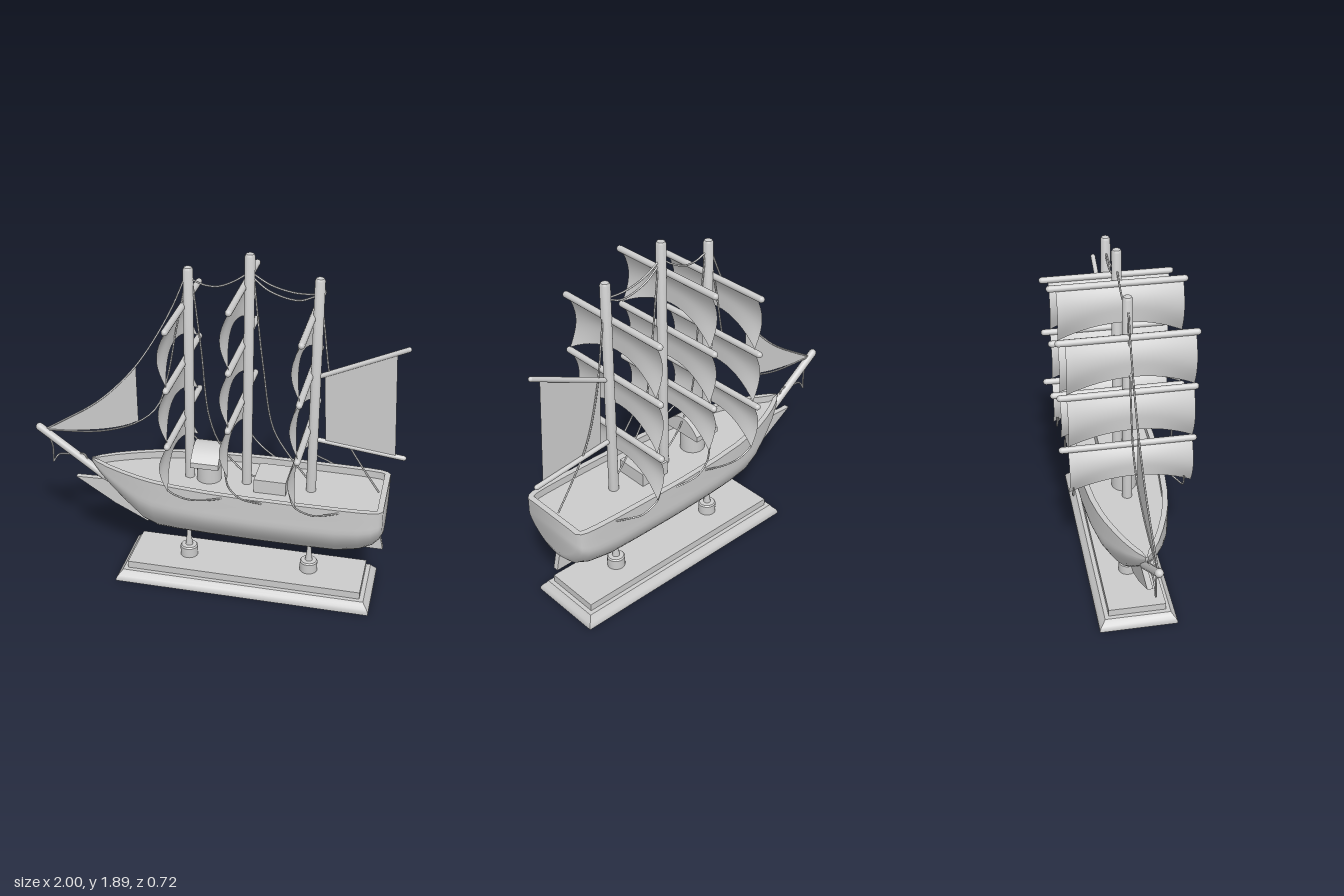
import * as THREE from 'three';
import { toCreasedNormals } from 'three/addons/utils/BufferGeometryUtils.js';

const solid = new THREE.MeshStandardMaterial({ color: 0xcccccc });
const cloth = new THREE.MeshStandardMaterial({ color: 0xcccccc, side: THREE.DoubleSide });
const V = (x, y, z = 0) => new THREE.Vector3(x, y, z);

// Skin a row of closed rings and cap both ends
function loft(rings, crease) {
  const n = rings[0].length, idx = [];
  const quad = (a, b, c, d) => idx.push(a, b, c, a, c, d);
  for (let r = 0; r < rings.length - 1; r++) {
    for (let i = 0; i < n; i++) {
      const j = (i + 1) % n;
      quad(r * n + i, r * n + j, (r + 1) * n + j, (r + 1) * n + i);
    }
  }
  const last = (rings.length - 1) * n;
  for (let i = 0; i < Math.floor((n - 1) / 2); i++) {
    quad(n - 1 - i, n - 2 - i, i + 1, i);
    quad(last + i, last + i + 1, last + n - 2 - i, last + n - 1 - i);
  }
  const g = new THREE.BufferGeometry().setFromPoints(rings.flat());
  g.setIndex(idx);
  return toCreasedNormals(g, crease);
}

// Hull stations: x, half width at the rail, keel height
const STATIONS = [
  [-0.685, 0.008, 0.62], [-0.64, 0.045, 0.565], [-0.57, 0.085, 0.49], [-0.48, 0.125, 0.405],
  [-0.38, 0.162, 0.318], [-0.3, 0.185, 0.288], [-0.18, 0.208, 0.285], [0, 0.226, 0.285],
  [0.25, 0.236, 0.285], [0.5, 0.236, 0.285], [0.68, 0.234, 0.288], [0.8, 0.23, 0.315],
  [0.865, 0.224, 0.35], [0.9, 0.212, 0.39], [0.918, 0.19, 0.43],
];
const RAIL = 0.645, DECK = 0.605;

function hullGeometry() {
  const section = new THREE.SplineCurve([[1, 1], [1, 0.75], [0.98, 0.53], [0.76, 0.29], [0.38, 0.06], [0, 0]]
    .map(p => new THREE.Vector2(...p))).getPoints(15);
  const rings = STATIONS.map(([x, w, keel]) => {
    const inner = Math.max(w - 0.03, 0.002);
    const half = [V(x, Math.max(DECK, keel), inner), V(x, RAIL, inner),
      ...section.map(p => V(x, keel + p.y * (RAIL - keel), p.x * w))];
    const other = half.slice(0, -1).reverse().map(p => V(p.x, p.y, -p.z));
    return [...half, ...other];
  });
  return loft(rings, 0.7);
}

// Stepped, moulded base built from rectangles
function baseGeometry() {
  const profile = [[0, 0], [0.015, 0], [0.03, 0.008], [0.045, 0.022], [0.06, 0.032], [0.06, 0.055], [0.1, 0.055]];
  return loft(profile.map(([y, inset]) => {
    const a = 0.695 - inset, b = 0.21 - inset, c = 0.185;
    return [V(c + a, y, b), V(c + a, y, -b), V(c - a, y, -b), V(c - a, y, b)];
  }), 0.6);
}

// Square sail: bellies forward, with the foot arched up in the middle
function squareSailGeometry(x, y, drop) {
  const g = new THREE.PlaneGeometry(2, 1, 16, 12), p = g.attributes.position;
  for (let i = 0; i < p.count; i++) {
    const u = p.getX(i), v = 0.5 - p.getY(i), mid = 1 - u * u;
    const edge = Math.sin(Math.PI * v), centre = Math.sin(Math.PI / 2 * Math.min(1, 1.6 * v));
    const belly = 0.045 * (edge + (centre - edge) * mid);
    p.setXYZ(i, x - belly, y - v * (drop - 0.1 * mid), 0.0125 + u * 0.322);
  }
  g.computeVertexNormals();
  return g;
}

function shapeOf(points) {
  return new THREE.Shape(points.map(p => new THREE.Vector2(...p)));
}

export function createModel() {
  const model = new THREE.Group();
  const add = (name, geometry, x = 0, y = 0, z = 0, material = solid) => {
    const mesh = new THREE.Mesh(geometry, material);
    mesh.name = name;
    mesh.position.set(x, y, z);
    model.add(mesh);
    return mesh;
  };
  const rod = (name, a, b, r) => {
    const d = b.clone().sub(a), len = d.length();
    const mid = a.clone().add(b).multiplyScalar(0.5);
    const mesh = add(name, new THREE.CapsuleGeometry(r, len - 2 * r, 3, 14), mid.x, mid.y, mid.z);
    mesh.quaternion.setFromUnitVectors(V(0, 1), d.normalize());
  };
  const lathe = (name, pts, x, y) =>
    add(name, toCreasedNormals(new THREE.LatheGeometry(pts.map(p => new THREE.Vector2(...p)), 20), 0.6), x, y);
  const rope = (name, pts) =>
    add(name, new THREE.TubeGeometry(new THREE.CatmullRomCurve3(pts.map(p => V(...p))), 28, 0.0048, 6));
  const plate = (name, pts, t) =>
    add(name, new THREE.ExtrudeGeometry(shapeOf(pts), { depth: t, bevelEnabled: false }), 0, 0, -t / 2);

  // Display stand
  add('standBase', baseGeometry());
  for (const x of [-0.145, 0.525]) {
    lathe('standPost', [[0, 0], [0.048, 0], [0.048, 0.055], [0.042, 0.063], [0.02, 0.065],
      [0.012, 0.13], [0.012, 0.2]], x, 0.1);
  }

  // Hull, aft rail, fins
  add('hull', hullGeometry());
  add('aftRail', new THREE.BoxGeometry(0.03, 0.045, 0.38), 0.902, RAIL - 0.0225);
  plate('bowFin', [[-0.78, 0.52], [-0.62, 0.525], [-0.5, 0.45], [-0.34, 0.3], [-0.38, 0.29], [-0.56, 0.38]], 0.03);
  plate('rudder', [[0.74, 0.3], [0.918, 0.3], [0.9, 0.38], [0.88, 0.43], [0.74, 0.34]], 0.03);

  // Deck cabin with arched roof, and hatch
  lathe('cabin', [[0.066, 0], [0.066, 0.13]], -0.03, 0.6);
  const roof = new THREE.Shape();
  roof.moveTo(-0.115, 0);
  roof.lineTo(0.115, 0);
  roof.lineTo(0.115, 0.03);
  roof.quadraticCurveTo(0, 0.168, -0.115, 0.03);
  const roofGeometry = new THREE.ExtrudeGeometry(roof, { depth: 0.15, bevelEnabled: false, curveSegments: 14 });
  add('cabinRoof', toCreasedNormals(roofGeometry, 0.6), -0.105, 0.722).rotation.y = Math.PI / 2;
  add('hatch', new THREE.BoxGeometry(0.17, 0.08, 0.18), 0.315, 0.64);

  // Masts, each with three yards and square sails
  const masts = [[-0.135, 1.795, 1.585, -0.165], [0.175, 1.89, 1.715, 0.145], [0.52, 1.795, 1.585, 0.492]];
  for (const [x, top, yardTop, yardX] of masts) {
    const h = top - 0.59;
    lathe('mast', [[0.026, 0], [0.026, h - 0.016], [0.02, h - 0.004], [0.012, h], [0, h]], x, 0.59);
    for (let i = 0; i < 3; i++) {
      const y = yardTop - i * 0.312;
      rod('yard', V(yardX, y, -0.358), V(yardX, y, 0.358), 0.017);
      add('squareSail', squareSailGeometry(yardX, y, i < 2 ? 0.295 : 0.27), 0, 0, 0, cloth);
    }
  }

  // Bowsprit and jib
  rod('bowsprit', V(-0.995, 0.812), V(-0.6, 0.525), 0.022);
  const jib = shapeOf([[-0.94, 0.788], [-0.8, 0.88], [-0.66, 0.975], [-0.53, 1.095], [-0.42, 1.225]]);
  jib.lineTo(-0.415, 0.905);
  jib.quadraticCurveTo(-0.56, 0.81, -0.94, 0.788);
  add('jib', new THREE.ShapeGeometry(jib), 0, 0, 0, cloth);

  // Gaff, boom and aft sail
  rod('gaff', V(0.535, 1.27), V(0.98, 1.468), 0.013);
  rod('boom', V(0.535, 0.912), V(1, 0.857), 0.013);
  add('aftSail', new THREE.ShapeGeometry(shapeOf([[0.565, 1.28], [0.585, 0.905], [0.945, 0.865], [0.915, 1.435]])),
    0, 0, 0.008, cloth);

  // Rigging along the centreline
  const lines = [
    [[-0.15, 1.74], [-0.22, 1.57], [-0.32, 1.38], [-0.42, 1.225], [-0.53, 1.095], [-0.66, 0.975], [-0.95, 0.785]],
    [[-0.145, 1.73], [-0.2, 1.45], [-0.25, 1.18], [-0.31, 1], [-0.42, 0.895], [-0.63, 0.815], [-0.94, 0.785]],
    [[-0.12, 1.73], [-0.05, 1.705], [0.02, 1.705], [0.1, 1.74], [0.17, 1.79]],
    [[0.185, 1.79], [0.28, 1.735], [0.4, 1.705], [0.51, 1.705]],
    [[0.185, 1.77], [0.28, 1.7], [0.42, 1.667], [0.51, 1.7]],
    [[-0.115, 1.73], [-0.07, 1.35], [-0.03, 0.98], [0.03, 0.82], [0.16, 0.67], [0.3, 0.63]],
    [[0.195, 1.77], [0.25, 1.3], [0.31, 0.95], [0.39, 0.81], [0.5, 0.67]],
    [[0.54, 1.62], [0.6, 1.22], [0.68, 0.95], [0.78, 0.78], [0.875, 0.64]],
    [[-0.935, 0.77], [-0.91, 0.69], [-0.912, 0.59]],
    [[-0.912, 0.59], [-0.875, 0.64], [-0.8, 0.65], [-0.73, 0.66], [-0.71, 0.62]],
  ];
  for (const pts of lines) rope('stay', pts);

  // Sheets from the lower sail corners to the rail
  const sheets = [
    [[-0.2, 0.75, 0.29], [-0.18, 0.68, 0.29], [-0.09, 0.635, 0.282], [0, 0.622, 0.255], [0.09, 0.63, 0.23]],
    [[0.12, 0.83, 0.29], [0.14, 0.74, 0.29], [0.2, 0.675, 0.28], [0.3, 0.63, 0.235]],
    [[0.45, 0.75, 0.29], [0.48, 0.67, 0.29], [0.57, 0.628, 0.282], [0.62, 0.622, 0.26], [0.7, 0.63, 0.233]],
  ];
  for (const pts of sheets) {
    for (const side of [1, -1]) rope('sheet', pts.map(([x, y, z]) => [x, y, z * side]));
  }
  return model;
}
